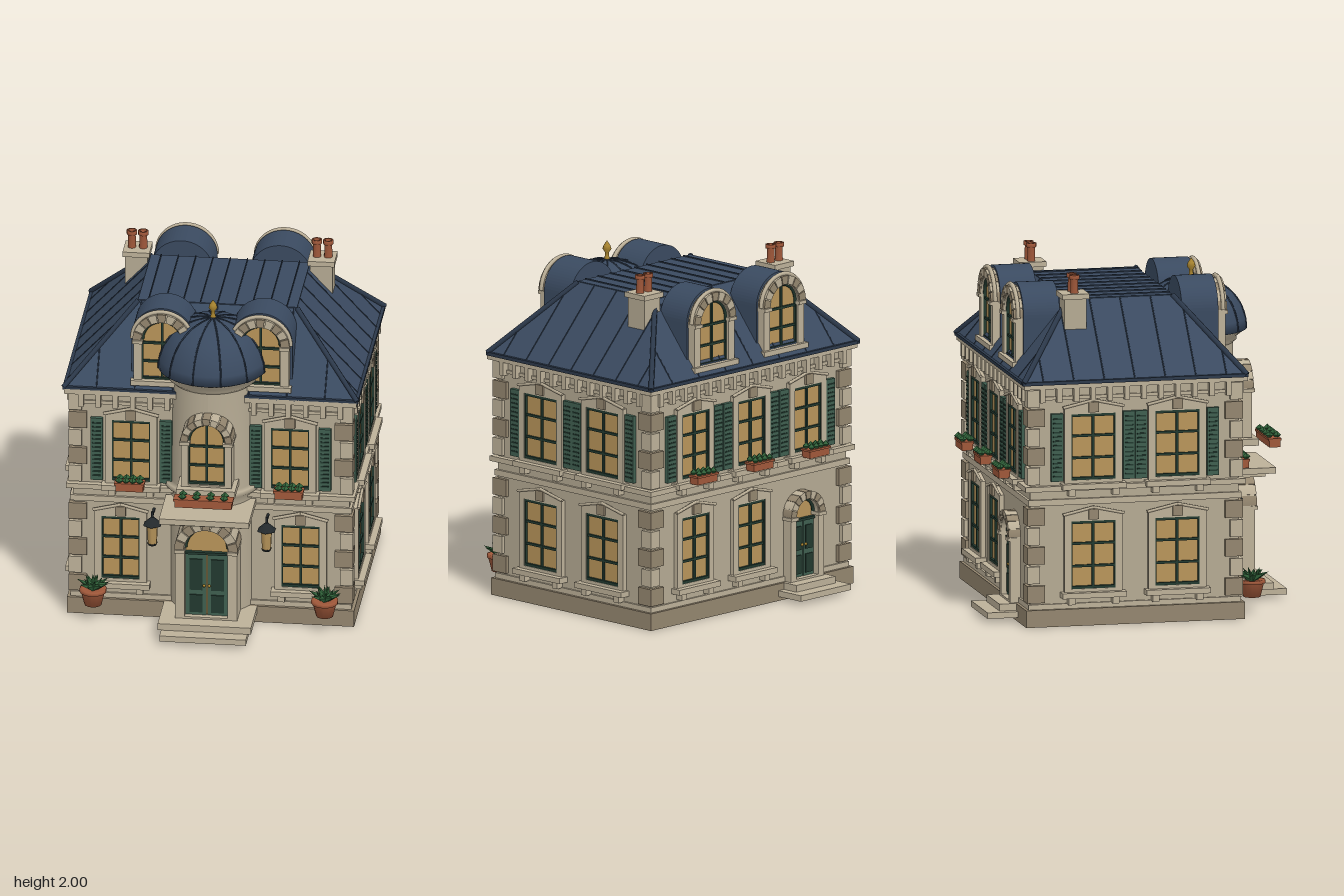
import * as THREE from 'three';

const mat = (color, flatShading = false) => new THREE.MeshStandardMaterial({ color, flatShading });
const stone = mat(0xb5aa93), trim = mat(0xbdb199), darkStone = mat(0x94866f), slate = mat(0x3a4a60),
  slateDark = mat(0x2c394b), glass = mat(0xb8955a), frame = mat(0x22392f), green = mat(0x3f5f50),
  clay = mat(0xa0583a), leaf = mat(0x2f6038, true), iron = mat(0x23292c), brass = mat(0xa8842f);
const V = (x, y, z) => new THREE.Vector3(x, y, z);
const EAVE = 1.42, TOP = 1.84;

function add(parent, name, geo, material, x = 0, y = 0, z = 0) {
  const m = new THREE.Mesh(geo, material);
  m.name = name;
  m.position.set(x, y, z);
  parent.add(m);
  return m;
}
// box given by its minimum and maximum corner
const box = (p, name, material, x0, x1, y0, y1, z0, z1) => add(p, name, new THREE.BoxGeometry(x1 - x0, y1 - y0, z1 - z0),
  material, (x0 + x1) / 2, (y0 + y1) / 2, (z0 + z1) / 2);
const extrude = (p, name, shape, material, z0, z1, x = 0) => add(p, name,
  new THREE.ExtrudeGeometry(shape, { depth: z1 - z0, bevelEnabled: false, curveSegments: 16 }), material, x, 0, z0);
const lathe = (p, name, pts, material, x, y, z, n = 32) => add(p, name,
  new THREE.LatheGeometry(pts.map(a => new THREE.Vector2(...a)), n), material, x, y, z);
function bar(p, name, a, b, r, material) {
  const m = add(p, name, new THREE.CylinderGeometry(r, r, a.distanceTo(b), 6), material);
  m.position.copy(a).add(b).multiplyScalar(0.5);
  m.quaternion.setFromUnitVectors(V(0, 1, 0), b.clone().sub(a).normalize());
}
function group(p, name, x = 0, y = 0, z = 0, ry = 0) {
  const g = new THREE.Group();
  g.name = name;
  g.position.set(x, y, z);
  g.rotation.y = ry;
  p.add(g);
  return g;
}
function arch(hw, y0, spring) {
  const s = new THREE.Shape();
  s.moveTo(-hw, y0).lineTo(hw, y0).lineTo(hw, spring);
  s.absarc(0, spring, hw, 0, Math.PI, false);
  s.closePath();
  return s;
}

// glazing bars: one upright, two rails and a border
function bars(g, hw, y0, y1, z, arched = false) {
  const b = 0.007;
  box(g, 'mullion', frame, -b, b, y0, y1 + (arched ? hw : 0), z, z + 0.012);
  for (const t of [1 / 3, 2 / 3]) {
    const y = y0 + (y1 + (arched ? hw * 0.8 : 0) - y0) * t;
    box(g, 'glazingBar', frame, -hw, hw, y - b, y + b, z, z + 0.012);
  }
  for (const s of [-1, 1]) box(g, 'frameSide', frame, s * hw - b, s * hw + b, y0, y1, z, z + 0.016);
  box(g, 'frameBottom', frame, -hw, hw, y0, y0 + 0.016, z, z + 0.016);
  if (!arched) box(g, 'frameTop', frame, -hw, hw, y1 - 0.016, y1, z, z + 0.016);
  else add(g, 'frameArch', new THREE.TorusGeometry(hw, 0.011, 6, 18, Math.PI), frame, 0, y1, z + 0.008);
}

function flowerBox(p, hw, y, z, n) {
  const g = group(p, 'flowerBox', 0, y, z);
  box(g, 'planter', clay, -hw, hw, 0, 0.045, -0.032, 0.032);
  box(g, 'planterRim', clay, -hw - 0.007, hw + 0.007, 0.04, 0.052, -0.038, 0.038);
  for (let i = 0; i < n; i++) {
    const x = hw * 0.85 * (2 * (i + 0.5) / n - 1) * 1.15;
    for (const s of [-1, 1]) add(g, 'plant', new THREE.OctahedronGeometry(0.025), leaf, x, 0.065, s * 0.022).scale.y = 0.9;
  }
}

// straight-headed window with pedimented surround
function windowUnit(p, x, y0, y1, hw, { shutters = 0, flowers = false } = {}) {
  const g = group(p, 'window', x), o = hw + 0.04;
  const s = new THREE.Shape();
  s.moveTo(-o, y0 - 0.02).lineTo(o, y0 - 0.02).lineTo(o, y1 + 0.035).lineTo(0, y1 + 0.075).lineTo(-o, y1 + 0.035).closePath();
  const h = new THREE.Path();
  h.moveTo(-hw, y0).lineTo(-hw, y1).lineTo(hw, y1).lineTo(hw, y0).closePath();
  s.holes.push(h);
  extrude(g, 'surround', s, trim, 0, 0.028);
  box(g, 'glass', glass, -hw, hw, y0, y1, 0, 0.008);
  bars(g, hw, y0, y1, 0.008);
  box(g, 'keystone', darkStone, -0.03, 0.03, y1 + 0.01, y1 + 0.07, 0, 0.042);
  for (const d of [-1, 1]) {
    bar(g, 'pedimentEdge', V(d * (o + 0.01), y1 + 0.04, 0.03), V(0, y1 + 0.08, 0.03), 0.009, trim);
    box(g, 'sillBracket', trim, d * hw - 0.02, d * hw + 0.02, y0 - 0.09, y0 - 0.045, 0, 0.045);
    if (shutters) {
      const c = d * shutters;
      box(g, 'shutter', green, c - 0.035, c + 0.035, y0 - 0.005, y1 + 0.005, 0, 0.024);
      for (let i = 0; i < 14; i++) {
        const y = y0 + 0.025 + i * (y1 - y0 - 0.05) / 13;
        box(g, 'louvre', frame, c - 0.025, c + 0.025, y - 0.004, y + 0.004, 0.02, 0.029);
      }
    }
  }
  box(g, 'sill', trim, -hw - 0.06, hw + 0.06, y0 - 0.05, y0 - 0.018, 0, 0.065);
  if (flowers) flowerBox(g, 0.08, y0 - 0.025, 0.09, 4);
}

// arched stone surround with wedge blocks, back face at z0 and front at z1
function archSurround(g, ow, hw, y0, spring, z0, z1) {
  const s = arch(ow, y0, spring);
  s.holes.push(arch(hw, y0 + 0.012, spring));
  extrude(g, 'archSurround', s, trim, z0, z1);
  for (let i = 0; i < 9; i++) {
    const a0 = Math.PI * (i + 0.06) / 9, a1 = Math.PI * (i + 0.94) / 9, w = new THREE.Shape();
    w.absarc(0, spring, ow + 0.004, a0, a1, false);
    w.absarc(0, spring, hw + 0.004, a1, a0, true);
    extrude(g, 'archBlock', w, i % 2 ? trim : darkStone, z0, z1 + 0.01);
  }
  for (const d of [-1, 1]) box(g, 'impost', trim, d * (ow + hw) / 2 - 0.03, d * (ow + hw) / 2 + 0.03, spring - 0.02, spring, z0, z1 + 0.015);
}

function archWindow(p, x, ow, hw, y0, spring, z0, z1) {
  const g = group(p, 'archedWindow', x);
  archSurround(g, ow, hw, y0, spring, z0, z1);
  extrude(g, 'glass', arch(hw, y0, spring), glass, z0, z1 - 0.03);
  bars(g, hw, y0 + 0.01, spring, z1 - 0.03, true);
  return g;
}

function doorway(p, x, ow, hw, spring, z0, z1) {
  const g = group(p, 'doorway', x), top = spring - 0.04;
  archSurround(g, ow, hw, 0.1, spring, z0, z1);
  extrude(g, 'fanlight', arch(hw, 0.1, spring), glass, z0, z1 - 0.05);
  add(g, 'doorArch', new THREE.TorusGeometry(hw, 0.012, 6, 18, Math.PI), frame, 0, spring, z1 - 0.04);
  for (const d of [-1, 1]) {
    const c = d * hw / 2;
    box(g, 'doorLeaf', green, c - hw / 2 + 0.003, c + hw / 2 - 0.003, 0.1, top, z0, z1 - 0.035);
    for (const [a, b] of [[0.13, 0.24], [0.27, top - 0.03]]) box(g, 'doorPanel', frame, c - hw * 0.3, c + hw * 0.3, a, b, z0, z1 - 0.028);
    add(g, 'doorKnob', new THREE.SphereGeometry(0.009, 8, 6), brass, d * 0.015, 0.3, z1 - 0.026);
  }
  box(g, 'transom', frame, -hw, hw, top, top + 0.015, z0, z1 - 0.025);
}

function dormer(p, x) {
  const g = archWindow(p, x, 0.165, 0.115, 1.47, 1.735, -0.06, 0);
  extrude(g, 'dormerRoof', arch(0.18, 1.45, 1.74), slate, -0.26, -0.045);
  add(g, 'dormerHood', new THREE.TorusGeometry(0.172, 0.013, 6, 24, Math.PI), trim, 0, 1.74, -0.015);
  box(g, 'dormerSill', trim, -0.18, 0.18, 1.455, 1.485, -0.08, 0.02);
}

function lantern(p, x) {
  const g = group(p, 'lantern', x, 0, 0.08);
  add(g, 'lanternGlass', new THREE.CylinderGeometry(0.034, 0.028, 0.11, 6), glass, 0, 0.545, 0);
  add(g, 'lanternCap', new THREE.ConeGeometry(0.058, 0.055, 6), iron, 0, 0.635, 0);
  add(g, 'lanternBase', new THREE.CylinderGeometry(0.032, 0.022, 0.015, 6), iron, 0, 0.485, 0);
  bar(g, 'lanternArm', V(0, 0.67, -0.08), V(0, 0.67, 0), 0.008, iron);
  bar(g, 'lanternHook', V(0, 0.69, 0), V(0, 0.65, 0), 0.008, iron);
}

function pottedPlant(p, x) {
  const g = group(p, 'pottedPlant', x, 0.1, 0.62);
  lathe(g, 'pot', [[0, 0], [0.05, 0], [0.07, 0.08], [0.078, 0.08], [0.078, 0.1], [0.062, 0.1], [0, 0.09]], clay, 0, 0, 0, 14);
  for (let i = 0; i < 16; i++) {
    const a = i * 2.4, r = i < 9 ? 0.05 : 0.025;
    const m = add(g, 'leaf', new THREE.ConeGeometry(0.025, 0.1, 4), leaf, Math.cos(a) * r, 0.125, Math.sin(a) * r);
    m.quaternion.setFromUnitVectors(V(0, 1, 0), V(Math.cos(a), i < 9 ? 0.45 : 1.4, Math.sin(a)).normalize());
  }
}

export function createModel() {
  const root = new THREE.Group();
  root.name = 'townHouse';
  // walls, plinth and bands that run round the house
  const ring = (name, m, e, y0, y1) => box(root, name, m, -0.8 - e, 0.8 + e, y0, y1, -0.72 - e, 0.51 + e);
  ring('plinth', darkStone, 0.03, 0, 0.1);
  ring('walls', stone, 0, 0.1, 1.42);
  ring('baseMoulding', trim, 0.012, 0.1, 0.13);
  ring('lowerBelt', trim, 0.015, 0.705, 0.74);
  ring('upperBelt', trim, 0.035, 0.79, 0.82);
  ring('frieze', trim, 0.012, 1.32, 1.34);
  ring('cornice', trim, 0.045, 1.39, 1.42);

  // four walls, each in its own local frame
  const front = group(root, 'frontWall', 0, 0, 0.51), back = group(root, 'backWall', 0, 0, -0.72, Math.PI);
  for (const s of [-1, 1]) {
    windowUnit(front, s * 0.52, 0.23, 0.62, 0.11);
    windowUnit(front, s * 0.46, 0.85, 1.23, 0.11, { shutters: 0.2, flowers: true });
    lantern(front, s * 0.33);
    const side = group(root, 'sideWall', s * 0.8, 0, -0.105, s * Math.PI / 2);
    for (const x of [-0.248, 0.248]) {
      windowUnit(side, x, 0.215, 0.61, 0.13);
      windowUnit(side, x, 0.85, 1.235, 0.13, { shutters: 0.212 });
    }
    for (let i = 0; i < 12; i++) box(side, 'eaveBracket', trim, -0.565 + i * 0.1, -0.535 + i * 0.1, 1.31, 1.39, 0, 0.04);
    pottedPlant(root, s * 0.67);
    // corner blocks, alternating long and short
    for (const z of [0.51, -0.72]) for (let i = 0; i < 10; i++) {
      const y = i < 5 ? 0.14 + i * 0.113 : 0.83 + (i - 5) * 0.113, w = i % 2 ? 0.075 : 0.105;
      const e = z > 0 ? 1 : -1;
      add(root, 'cornerBlock', new THREE.BoxGeometry(w, 0.1, w), i % 2 ? trim : darkStone,
        s * (0.822 - w / 2), y + 0.05, z + e * (0.022 - w / 2));
    }
  }
  for (const x of [-0.46, 0, 0.46]) windowUnit(back, x, 0.85, 1.23, 0.11, { shutters: 0.19, flowers: true });
  for (const x of [-0.46, 0]) windowUnit(back, x, 0.23, 0.62, 0.11);
  for (const w of [front, back]) for (let i = 0; i < 16; i++) box(w, 'eaveBracket', trim, -0.765 + i * 0.1, -0.735 + i * 0.1, 1.31, 1.39, 0, 0.04);
  doorway(back, 0.42, 0.135, 0.09, 0.48, 0, 0.06);
  box(back, 'backStepUpper', trim, 0.26, 0.58, 0.06, 0.1, 0, 0.13);
  box(back, 'backStepLower', trim, 0.215, 0.625, 0.025, 0.06, 0, 0.21);

  // hipped roof with flat top, hips and seams
  const roof = group(root, 'roof'), geo = new THREE.BoxGeometry(1.7, TOP - EAVE, 1.32), pos = geo.attributes.position;
  for (let i = 0; i < pos.count; i++) if (pos.getY(i) > 0) {
    pos.setX(i, pos.getX(i) * 0.46 / 0.85);
    pos.setZ(i, pos.getZ(i) * 0.31 / 0.66);
  }
  geo.computeVertexNormals();
  add(roof, 'roofSlopes', geo, slate, 0, (EAVE + TOP) / 2, -0.11);
  box(roof, 'eave', slateDark, -0.855, 0.855, 1.415, 1.435, -0.775, 0.555);
  box(roof, 'flatTop', slate, -0.46, 0.46, 1.83, 1.845, -0.42, 0.2);
  const rise = t => EAVE + t * (TOP - EAVE);
  for (const s of [-1, 1]) {
    for (const d of [-1, 1]) bar(roof, 'hip', V(s * 0.85, EAVE + 0.01, -0.11 + d * 0.66), V(s * 0.46, TOP, -0.11 + d * 0.31), 0.016, slateDark);
    for (let i = -3; i <= 3; i++) {
      const x = i * 0.22, z = i * 0.18;
      const tx = Math.min(1, (0.85 - Math.abs(x)) / 0.39), tz = Math.min(1, (0.66 - Math.abs(z)) / 0.35);
      bar(roof, 'slopeSeam', V(x, EAVE, -0.11 + s * 0.66), V(x, rise(tx), -0.11 + s * (0.66 - 0.35 * tx)), 0.004, slateDark);
      bar(roof, 'slopeSeam', V(s * 0.85, EAVE, -0.11 + z), V(s * (0.85 - 0.39 * tz), rise(tz), -0.11 + z), 0.004, slateDark);
    }
  }
  for (let i = -4; i <= 4; i++) box(roof, 'topSeam', slateDark, i * 0.1 - 0.003, i * 0.1 + 0.003, 1.84, 1.852, -0.42, 0.2);
  const frontDormers = group(root, 'frontDormers', 0, 0, 0.515), backDormers = group(root, 'backDormers', 0, 0, -0.725, Math.PI);
  for (const s of [-1, 1]) {
    dormer(frontDormers, s * 0.285);
    dormer(backDormers, s * 0.285);
    // chimney with two pots
    const c = group(root, 'chimney', s * 0.535, 0, -0.405);
    box(c, 'stack', stone, -0.065, 0.065, 1.5, 1.87, -0.065, 0.065);
    box(c, 'stackCap', trim, -0.078, 0.078, 1.865, 1.895, -0.08, 0.08);
    for (const x of [-0.033, 0.033]) lathe(c, 'chimneyPot', [[0.024, 0], [0.022, 0.08], [0.03, 0.082], [0.03, 0.105], [0.018, 0.105], [0.018, 0.02], [0, 0.02]], clay, x, 1.895, 0, 12);
  }

  // round entrance tower with dome
  const tower = group(root, 'tower', 0, 0, 0.42);
  lathe(tower, 'towerWall', [[0.25, 0.1], [0.25, 0.7], [0.262, 0.7], [0.262, 0.74], [0.25, 0.74], [0.25, 0.8], [0.28, 0.83],
    [0.28, 0.86], [0.245, 0.86], [0.24, 1.5]], stone, 0, 0, 0, 40).geometry.computeVertexNormals();
  lathe(tower, 'towerCornice', [[0.24, 1.48], [0.262, 1.5], [0.262, 1.52], [0.3, 1.55], [0.3, 1.575], [0, 1.575]], trim, 0, 0, 0, 40);
  const dome = [[0.318, 1.56], [0.312, 1.62], [0.285, 1.7], [0.235, 1.77], [0.16, 1.825], [0.08, 1.85], [0, 1.86]];
  lathe(tower, 'dome', [[0.25, 1.555], ...dome], slate, 0, 0, 0, 40);
  for (let i = 0; i < 12; i++) {
    const a = (i + 0.5) * Math.PI / 6;
    const path = new THREE.CatmullRomCurve3(dome.map(([r, y]) => V(r * Math.cos(a), y, r * Math.sin(a))));
    add(tower, 'domeRib', new THREE.TubeGeometry(path, 16, 0.005, 5), slateDark);
  }
  lathe(tower, 'finial', [[0.02, 0], [0.012, 0.03], [0.012, 0.05], [0.026, 0.07], [0.02, 0.09], [0, 0.12]], brass, 0, 1.85, 0, 10);
  archWindow(tower, 0, 0.145, 0.105, 0.93, 1.215, 0.17, 0.325);
  box(tower, 'towerSill', trim, -0.17, 0.17, 0.885, 0.925, 0.17, 0.36);
  flowerBox(tower, 0.165, 0.87, 0.455, 4);
  doorway(tower, 0, 0.18, 0.125, 0.535, 0.17, 0.335);
  box(tower, 'canopy', trim, -0.26, 0.26, 0.735, 0.77, 0.1, 0.44);
  box(tower, 'canopyMoulding', trim, -0.21, 0.21, 0.71, 0.735, 0.1, 0.39);
  box(tower, 'frontStepUpper', trim, -0.27, 0.27, 0.06, 0.1, 0.05, 0.425);
  box(tower, 'frontStepLower', trim, -0.25, 0.25, 0.025, 0.06, 0.05, 0.505);
  return root;
}
